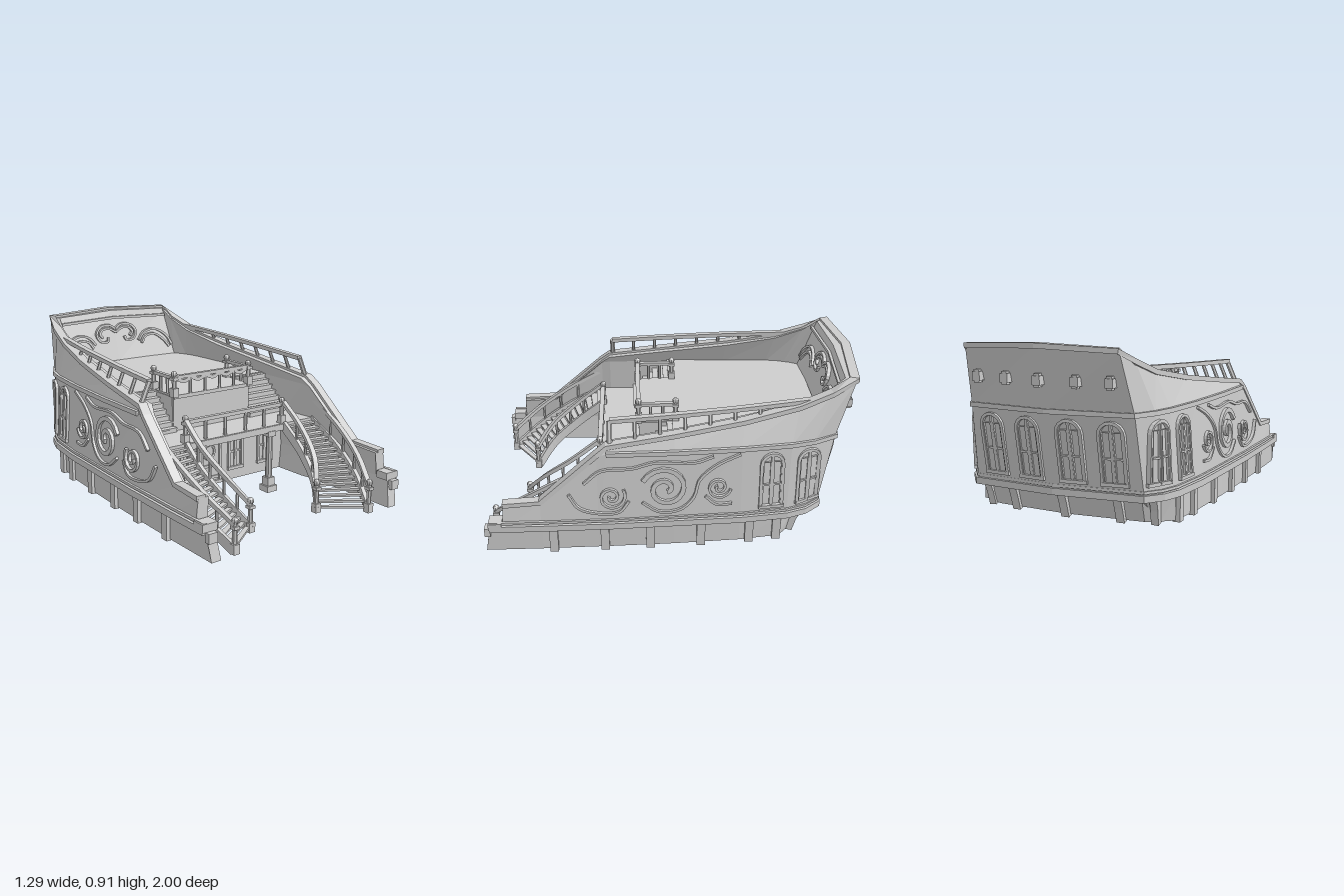
import * as THREE from 'three';

const V = (x, y, z) => new THREE.Vector3(x, y, z);
const lerp = THREE.MathUtils.lerp;
const Y = V(0, 1, 0);

// Hull stations from the front end to the stern centre line:
// [zBottom, zWale, zDeck, zTop, xBottom, xWale, xDeck, xTop, yTop, insetX, insetZ, zLedge]
const STATIONS = [
  [1.0, 0.97, 0.97, 0.97, 0.615, 0.63, 0.625, 0.62, 0.18, 0.055, 0, 0.975],
  [0.9, 0.9, 0.9, 0.9, 0.615, 0.63, 0.62, 0.62, 0.18, 0.055, 0, 0.9],
  [0.895, 0.895, 0.895, 0.895, 0.615, 0.63, 0.615, 0.61, 0.30, 0.055, 0, 0.895],
  [0.7, 0.7, 0.7, 0.7, 0.615, 0.63, 0.61, 0.605, 0.31, 0.055, 0, 0.7],
  [0.4, 0.4, 0.4, 0.4, 0.61, 0.625, 0.59, 0.585, 0.575, 0.06, 0, 0.4],
  [0.35, 0.35, 0.35, 0.35, 0.61, 0.625, 0.59, 0.575, 0.615, 0.07, 0, 0.35],
  [0, 0, 0, 0, 0.6, 0.61, 0.585, 0.55, 0.66, 0.07, 0, 0],
  [-0.35, -0.35, -0.35, -0.36, 0.58, 0.595, 0.565, 0.512, 0.71, 0.07, 0, -0.35],
  [-0.57, -0.6, -0.61, -0.65, 0.55, 0.565, 0.535, 0.468, 0.765, 0.055, 0, -0.58],
  [-0.62, -0.7, -0.73, -0.82, 0.49, 0.53, 0.505, 0.44, 0.825, 0.045, 0.01, -0.65],
  [-0.66, -0.78, -0.85, -0.945, 0.42, 0.47, 0.45, 0.415, 0.885, 0.035, 0.055, -0.7],
  [-0.69, -0.82, -0.9, -0.985, 0, 0, 0, 0, 0.9, 0, 0.08, -0.73],
].map(([zb, zw, zd, zt, xb, xw, xd, xt, yt, tx, tz, zl]) => {
  const yd = Math.min(0.58, yt - 0.006);
  const yw = Math.min(0.17, yt - 0.01);
  return { tx, tz, ledge: V(xb, 0.15, zl), rows: [V(xb, 0.02, zb), V(xw, yw, zw), V(xd, yd, zd), V(xt, yt, zt)] };
});
const flipX = p => V(-p.x, p.y, p.z);
const around = half => [...half, ...half.slice(0, -1).reverse().map(flipX)];
const hullRow = (k, from = 0) => around(STATIONS.slice(from).map(s => s.rows[k].clone()));

// Point on the hull side at depth z, blending row a into row b by k
function hullPoint(a, b, k, z) {
  const pts = STATIONS.map(s => s.rows[a].clone().lerp(s.rows[b], k));
  let i = 0;
  while (i < pts.length - 2 && pts[i + 1].z > z) i++;
  const f = (z - pts[i].z) / ((pts[i + 1].z - pts[i].z) || 1);
  return pts[i].clone().lerp(pts[i + 1], f);
}

// Skin closed cross-section rings and cap both ends
function loft(rings) {
  const pos = [], n = rings[0].length;
  const tri = (...ps) => ps.forEach(p => pos.push(p.x, p.y, p.z));
  for (let i = 0; i < rings.length - 1; i++) {
    for (let j = 0; j < n; j++) {
      const m = (j + 1) % n, A = rings[i], B = rings[i + 1];
      tri(A[j], B[j], B[m]);
      tri(A[j], B[m], A[m]);
    }
  }
  const end = rings[rings.length - 1];
  for (let j = 1; j < n - 1; j++) {
    tri(rings[0][0], rings[0][j], rings[0][j + 1]);
    tri(end[0], end[j + 1], end[j]);
  }
  const g = new THREE.BufferGeometry();
  g.setAttribute('position', new THREE.Float32BufferAttribute(pos, 3));
  g.computeVertexNormals();
  return g;
}

// Sweep a rectangle w wide and h high (along up) through the points
function sweep(pts, w, h, up = Y) {
  return loft(pts.map((p, i) => {
    const t = pts[Math.min(i + 1, pts.length - 1)].clone().sub(pts[Math.max(i - 1, 0)]).normalize();
    const side = t.clone().cross(up).normalize(), n = side.clone().cross(t);
    return [[-1, -1], [1, -1], [1, 1], [-1, 1]].map(([a, b]) =>
      p.clone().addScaledVector(side, a * w / 2).addScaledVector(n, b * h / 2));
  }));
}

// Flat plate from [x, z] corners, its top at y
function slab(corners, y, t) {
  const shape = new THREE.Shape(corners.map(([x, z]) => new THREE.Vector2(x, -z)));
  return new THREE.ExtrudeGeometry(shape, { depth: t, bevelEnabled: false }).rotateX(-Math.PI / 2).translate(0, y - t, 0);
}
const box = (w, h, d, x, y, z) => new THREE.BoxGeometry(w, h, d).translate(x, y, z);
function rod(a, b, r) {
  const d = b.clone().sub(a), m = a.clone().add(b).multiplyScalar(0.5);
  const q = new THREE.Quaternion().setFromUnitVectors(Y, d.clone().normalize());
  return new THREE.CylinderGeometry(r, r, d.length(), 6).applyQuaternion(q).translate(m.x, m.y, m.z);
}
const smooth = (pts, n) => new THREE.CatmullRomCurve3(pts).getPoints(n);

export function createModel() {
  const model = new THREE.Group();
  const grey = new THREE.MeshStandardMaterial({ color: 0xcccccc, flatShading: true, side: THREE.DoubleSide });
  grey.name = 'plain grey';
  const add = (name, g) => {
    const mesh = new THREE.Mesh(g, grey);
    mesh.name = name;
    model.add(mesh);
  };
  const newel = (name, x, y, z, h) => {
    add(name, rod(V(x, y, z), V(x, y + h, z), 0.013));
    add(name + 'Base', box(0.036, 0.05, 0.036, x, y + 0.025, z));
    add(name + 'Collar', box(0.034, 0.016, 0.034, x, y + h * 0.8, z));
    add(name + 'Knob', new THREE.SphereGeometry(0.018, 8, 6).translate(x, y + h, z));
  };
  // Arched window frame with glazing bars, laid on a surface by map(u, v)
  const archWindow = (name, map, u, v0, v1, w, up, bars = true) => {
    const r = w / 2, pts = [map(u - r, v0)];
    for (let i = 0; i <= 8; i++) {
      const a = Math.PI * (1 - i / 8);
      pts.push(map(u + r * Math.cos(a), v1 - r + r * Math.sin(a)));
    }
    pts.push(map(u + r, v0));
    add(name + 'Frame', sweep(pts, 0.016, 0.022, up));
    add(name + 'Sill', sweep([map(u - r - 0.01, v0), map(u + r + 0.01, v0)], 0.018, 0.028, up));
    if (!bars) return;
    add(name + 'Mullion', sweep([map(u, v0), map(u, v1)], 0.014, 0.014, up));
    for (const s of [-1, 1]) {
      const c = u + s * r * 0.48, e = r * 0.34, top = v1 - r * 0.75, m = lerp(v0, v1, 0.42);
      const loop = [[c - e, v0 + 0.015], [c - e, top], [c + e, top], [c + e, v0 + 0.015]];
      add(name + 'Light', sweep(loop.map(([a, b]) => map(a, b)), 0.006, 0.012, up));
      add(name + 'Bar', sweep([map(c - e, m), map(c + e, m)], 0.01, 0.012, up));
    }
  };

  // Hull shell, wales and cap rail
  const half = STATIONS.map(({ rows, ledge, tx, tz }) =>
    [rows[0], ledge, ...rows.slice(1), ...rows.slice().reverse().map(p => V(p.x - tx, p.y, p.z + tz))]);
  add('hull', loft([...half, ...half.slice(0, -1).reverse().map(ring => ring.map(flipX))]));
  add('lowerWale', sweep(hullRow(1), 0.035, 0.035));
  add('lowerWaleLip', sweep(hullRow(1).map(p => p.add(V(0, 0.03, 0))), 0.018, 0.014));
  add('upperWale', sweep(hullRow(2, 5), 0.026, 0.024));
  add('capRail', sweep(hullRow(3, 2).map(p => V(p.x * 0.98, p.y, p.z + (p.z < -0.9 ? 0.012 : 0))), 0.05, 0.026));

  // Decks and cabin walls
  const both = pts => [...pts, ...pts.slice().reverse().map(([x, z]) => [-x, z])];
  add('poopDeck', slab(both([[0.26, 0.19], [0.26, 0], [0.535, 0], [0.52, -0.36], [0.48, -0.64], [0.42, -0.81]]), 0.59, 0.02));
  add('balconyDeck', slab(both([[0.34, 0.41], [0.56, 0.41], [0.57, 0.15]]), 0.39, 0.03));
  add('balconyBeam', box(0.7, 0.035, 0.02, 0, 0.37, 0.405));
  add('poopFrontWall', box(0.52, 0.2, 0.02, 0, 0.48, 0.17));
  add('cabinWall', box(1.15, 0.36, 0.02, 0, 0.2, 0.14));

  // Cabin door and windows, on both faces of the wall
  for (const z of [0.152, 0.128]) {
    const wall = (u, v) => V(u, v, z), up = V(0, 0, z > 0.14 ? 1 : -1);
    archWindow('door', wall, 0, 0.03, 0.325, 0.155, up, false);
    for (const y of [0.06, 0.13]) add('doorPlank', box(0.13, 0.016, 0.012, 0, y, z));
    add('doorPorthole', new THREE.TorusGeometry(0.04, 0.009, 5, 10).translate(0, 0.215, z));
    for (const u of [-0.41, -0.19, 0.19, 0.41]) archWindow('cabinWindow', wall, u, 0.09, 0.325, 0.095, up);
  }

  // Stern gallery windows, ribs and lanterns
  const sternZ = (u, v) => lerp(-0.82, -0.9, (v - 0.17) / 0.41) + 0.045 * Math.abs(u) / 0.46 - 0.004;
  for (const u of [-0.33, -0.115, 0.115, 0.33]) {
    archWindow('sternWindow', (a, b) => V(a, b, sternZ(a, b)), u, 0.23, 0.54, 0.125, V(0, 0, -1));
  }
  for (const u of [-0.3, 0, 0.3]) {
    const k = Math.abs(u) / 0.42 * 0.03;
    add('sternRib', sweep([V(u, 0.012, -0.69 + k), V(u, 0.09, -0.715 + k), V(u, 0.16, -0.745 + k)], 0.045, 0.035, V(0, 0, -1)));
  }
  for (const u of [-0.36, -0.19, 0, 0.19, 0.36]) {
    const z = -0.945 + 0.045 * Math.abs(u) / 0.42;
    add('sternLantern', box(0.042, 0.045, 0.05, u, 0.735, z - 0.01));
    add('sternLanternCap', box(0.028, 0.065, 0.03, u, 0.735, z - 0.015));
  }

  // Scrollwork inside the stern bulwark
  const inner = (u, v) => V(u, v, lerp(-0.82, -0.902, (v - 0.58) / 0.32) + 0.022 * Math.abs(u) / 0.4 + 0.004);
  for (const s of [-1, 1]) {
    const scroll = pts => sweep(smooth(pts.map(([u, v]) => inner(s * u, v)), 18), 0.014, 0.02, V(0, 0, 1));
    add('sternArc', scroll([[0.4, 0.65], [0.37, 0.71], [0.29, 0.76], [0.21, 0.75], [0.16, 0.7]]));
    add('sternArcInner', scroll([[0.38, 0.64], [0.34, 0.69], [0.28, 0.73], [0.21, 0.72], [0.18, 0.68]]));
    add('sternScroll', scroll([[0, 0.785], [0.04, 0.81], [0.11, 0.805], [0.145, 0.76], [0.12, 0.715], [0.07, 0.71], [0.06, 0.735]]));
    add('sternScrollInner', scroll([[0, 0.765], [0.05, 0.79], [0.1, 0.785], [0.12, 0.76], [0.1, 0.735]]));
  }
  add('sternMoulding', sweep([inner(-0.38, 0.845), inner(0, 0.855), inner(0.38, 0.845)], 0.016, 0.015, V(0, 0, 1)));

  for (const s of [-1, 1]) {
    const out = V(s, 0, 0);
    const onSide = (z, y) => {
      const p = hullPoint(1, 2, THREE.MathUtils.clamp((y - 0.17) / 0.41, 0, 1), z);
      return V(s * (p.x + 0.005), y, z);
    };

    // Side windows, ribs and scrolls
    for (const z of [-0.51, -0.71]) archWindow('sideWindow', onSide, z, 0.235, 0.54, 0.115, out);
    for (const z of [0.64, 0.37, 0.13, -0.14, -0.4, -0.55]) {
      const x = s * hullPoint(0, 0, 0, z).x;
      add('hullRib', sweep([V(x, 0.012, z), V(x, 0.16, z)], 0.045, 0.04, out));
    }
    add('quarterRib', sweep([V(s * 0.47, 0.012, -0.63), V(s * 0.475, 0.09, -0.65), V(s * 0.48, 0.16, -0.68)], 0.045, 0.04, out));
    for (const [z0, y0, R, a0] of [[0.33, 0.34, 0.075, 2.6], [0.05, 0.375, 0.125, 0.4], [-0.23, 0.37, 0.065, 3.4]]) {
      const pts = [];
      for (let i = 0; i <= 30; i++) {
        const a = a0 + i / 30 * Math.PI * 3.2, r = R * (1 - 0.85 * i / 30);
        pts.push(onSide(z0 + r * Math.cos(a), y0 + r * Math.sin(a)));
      }
      add('sideSpiral', sweep(pts, R * 0.2, 0.022, out));
    }
    for (const path of [
      [[0.55, 0.36], [0.5, 0.28], [0.4, 0.245], [0.29, 0.25], [0.24, 0.31]],
      [[0.17, 0.3], [0.08, 0.24], [-0.03, 0.25], [-0.1, 0.32], [-0.13, 0.42], [-0.22, 0.5], [-0.34, 0.555]],
      [[0.47, 0.42], [0.38, 0.49], [0.22, 0.5], [0.1, 0.53], [-0.1, 0.52], [-0.2, 0.55]],
      [[-0.16, 0.32], [-0.22, 0.27], [-0.3, 0.27]],
    ]) add('sideSwirl', sweep(smooth(path.map(([z, y]) => onSide(z, y)), 20), 0.014, 0.018, out));

    // Front end block of the hull
    add('bowBlock', box(0.085, 0.04, 0.07, s * 0.605, 0.185, 0.94));
    add('bowKnob', box(0.05, 0.05, 0.03, s * 0.605, 0.14, 0.985));

    // Leaning rail above the bulwark
    const railPts = [];
    for (let i = 0; i <= 8; i++) {
      const z = lerp(0.33, -0.7, i / 8), p = hullPoint(3, 3, 0, z);
      const top = V(s * (p.x - lerp(0.065, 0.02, i / 8)), lerp(0.73, 0.788, i / 8), z);
      railPts.push(top);
      if (i < 7) add('bulwarkPost', rod(V(s * (p.x - 0.015), p.y, z), top, i ? 0.01 : 0.014));
    }
    add('bulwarkRail', sweep(railPts, 0.032, 0.022));

    // Short straight steps from the balcony to the poop deck, on a sloping soffit
    for (let i = 0; i < 7; i++) {
      const y = 0.388 + 0.028 * (i + 1), z = 0.185 - i * 0.03;
      add('upperStep', box(0.29, 0.03, 0.036, s * 0.4, y - 0.015, z));
      add('upperStepNosing', box(0.29, 0.008, 0.042, s * 0.4, y - 0.004, z + 0.003));
    }
    add('upperStairSoffit', sweep([V(s * 0.4, 0.372, 0.18), V(s * 0.4, 0.575, -0.03)], 0.29, 0.012));
    add('poopSideWall', box(0.02, 0.2, 0.18, s * 0.255, 0.48, 0.085));

    // Poop rail sides
    newel('poopNewel', s * 0.255, 0.58, 0.18, 0.125);
    newel('poopEndNewel', s * 0.255, 0.58, -0.02, 0.125);
    add('poopSideRail', box(0.024, 0.018, 0.2, s * 0.255, 0.685, 0.08));
    for (const z of [0.05, 0.115]) add('poopBaluster', rod(V(s * 0.255, 0.59, z), V(s * 0.255, 0.68, z), 0.009));

    // Curved staircase
    const innerEdge = smooth([V(s * 0.225, 0.03, 0.8), V(s * 0.295, 0.15, 0.7), V(s * 0.335, 0.27, 0.55), V(s * 0.335, 0.385, 0.4)], 32);
    const outerEdge = smooth([V(s * 0.45, 0.03, 0.96), V(s * 0.515, 0.15, 0.8), V(s * 0.547, 0.27, 0.61), V(s * 0.55, 0.385, 0.4)], 32);
    for (let i = 0; i < 16; i++) {
      const c = [innerEdge[2 * i], outerEdge[2 * i], outerEdge[2 * i + 2], innerEdge[2 * i + 2]];
      add('stairTread', slab(c.map(p => [p.x, p.z]), lerp(0.04, 0.385, i / 15.5), 0.012));
    }
    for (const edge of [innerEdge, outerEdge]) {
      const pts = edge.filter((p, i) => i % 2 === 0);
      add('stairStringer', sweep(pts.map(p => V(p.x, p.y - 0.005, p.z)), 0.022, 0.05));
      add('stairHandrail', sweep(pts.map(p => V(p.x, p.y + 0.125, p.z)), 0.026, 0.02));
      for (const i of [3, 6, 9, 12]) add('stairBaluster', rod(pts[i], pts[i].clone().add(V(0, 0.12, 0)), 0.008));
      newel('stairNewel', pts[0].x, 0.01, pts[0].z, 0.165);
    }
    newel('balconyNewel', s * 0.33, 0.385, 0.39, 0.135);

    // Balcony column
    add('column', new THREE.CylinderGeometry(0.018, 0.02, 0.33, 8).translate(s * 0.24, 0.195, 0.395));
    add('columnBase', box(0.07, 0.035, 0.07, s * 0.24, 0.025, 0.395));
    add('columnFoot', box(0.05, 0.05, 0.05, s * 0.24, 0.065, 0.395));
    add('columnCapital', box(0.055, 0.03, 0.05, s * 0.24, 0.345, 0.395));
  }

  // Front rails of the balcony and the poop
  add('balconyRail', box(0.66, 0.02, 0.026, 0, 0.5, 0.39));
  for (const x of [-0.2, -0.07, 0.07, 0.2]) add('balconyBaluster', rod(V(x, 0.39, 0.39), V(x, 0.495, 0.39), 0.01));
  add('poopRail', box(0.51, 0.018, 0.024, 0, 0.688, 0.18));
  for (const x of [-0.15, -0.05, 0.05, 0.15]) add('poopBaluster', rod(V(x, 0.59, 0.18), V(x, 0.685, 0.18), 0.009));
  const wave = Array.from({ length: 31 }, (_, i) => V(lerp(-0.24, 0.24, i / 30), 0.668 + 0.008 * Math.cos(i / 30 * Math.PI * 10), 0.18));
  add('poopValance', sweep(wave, 0.014, 0.02));
  return model;
}
